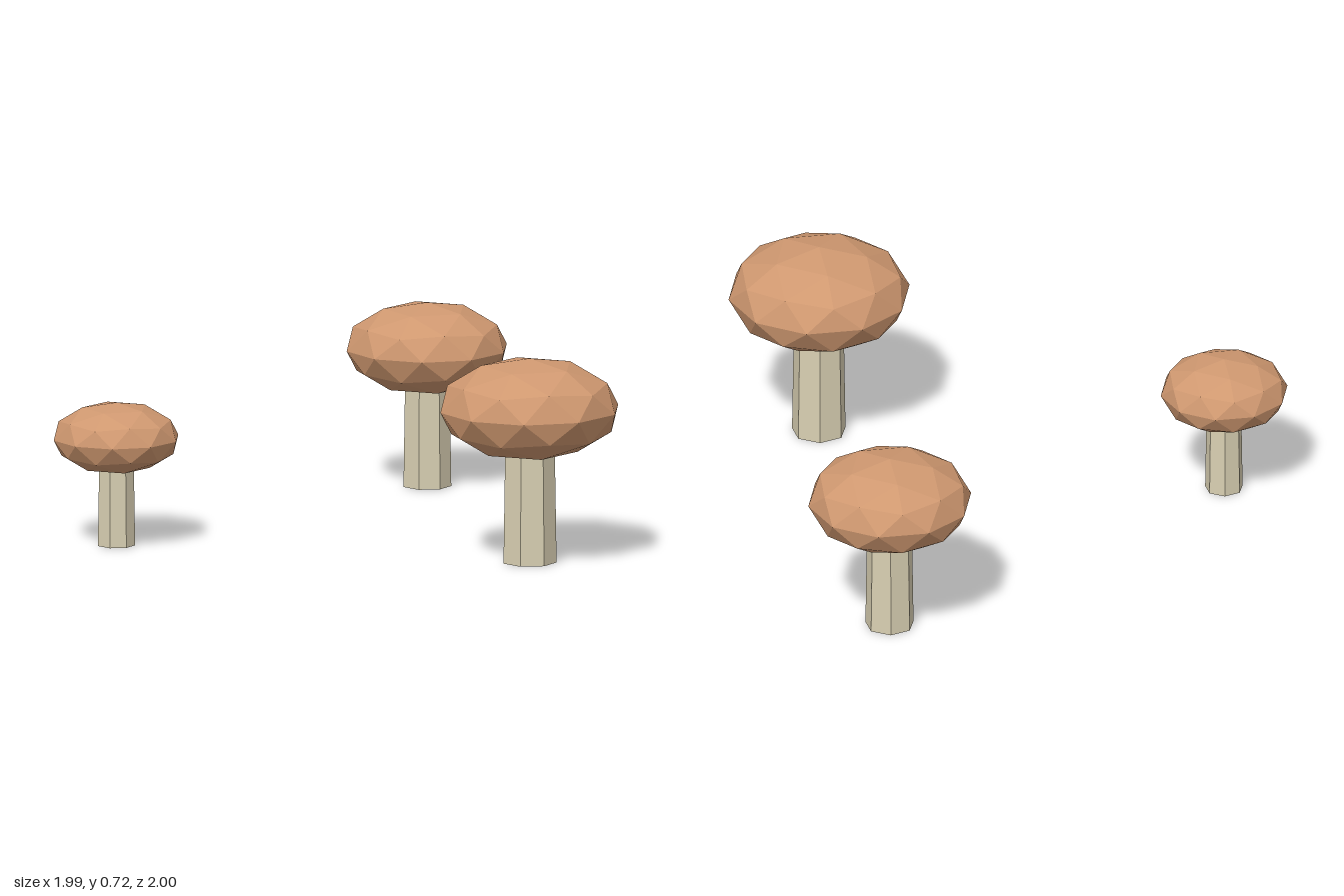
import * as THREE from 'three';

const capMaterial = new THREE.MeshStandardMaterial({ color: 0xcf9870, flatShading: true });
capMaterial.name = 'tan cap';
const stemMaterial = new THREE.MeshStandardMaterial({ color: 0xd8cfb2, flatShading: true });
stemMaterial.name = 'cream stem';

// One mushroom at full size, standing on y = 0
function createMushroom() {
  const mushroom = new THREE.Group();
  const capHeight = 0.5435;

  // Seven-sided stem, slightly tapered, ending inside the cap
  const stemGeometry = new THREE.CylinderGeometry(0.087, 0.0955, capHeight, 7);
  stemGeometry.translate(0, capHeight / 2, 0);
  const stem = new THREE.Mesh(stemGeometry, stemMaterial);
  stem.name = 'stem';

  // Flattened icosphere, turned so that a vertex points straight up
  const capGeometry = new THREE.IcosahedronGeometry(1, 1);
  capGeometry.rotateZ(-Math.atan(2 / (1 + Math.sqrt(5))));
  capGeometry.scale(0.32, 0.1775, 0.32);
  capGeometry.translate(0, capHeight, 0);
  capGeometry.computeVertexNormals();
  const cap = new THREE.Mesh(capGeometry, capMaterial);
  cap.name = 'cap';

  mushroom.add(stem, cap);
  return mushroom;
}

export function createModel() {
  const model = new THREE.Group();
  model.name = 'mushrooms';

  // name, x, z, scale
  const placements = [
    ['largeMushroom', 0.255, 0.68, 1],
    ['mediumMushroom', 0.722, -0.712, 0.9],
    ['smallMushroom', -0.786, -0.363, 0.7],
  ];
  for (const [name, x, z, scale] of placements) {
    const mushroom = createMushroom();
    mushroom.name = name;
    mushroom.position.set(x, 0, z);
    mushroom.scale.setScalar(scale);
    model.add(mushroom);
  }
  return model;
}
